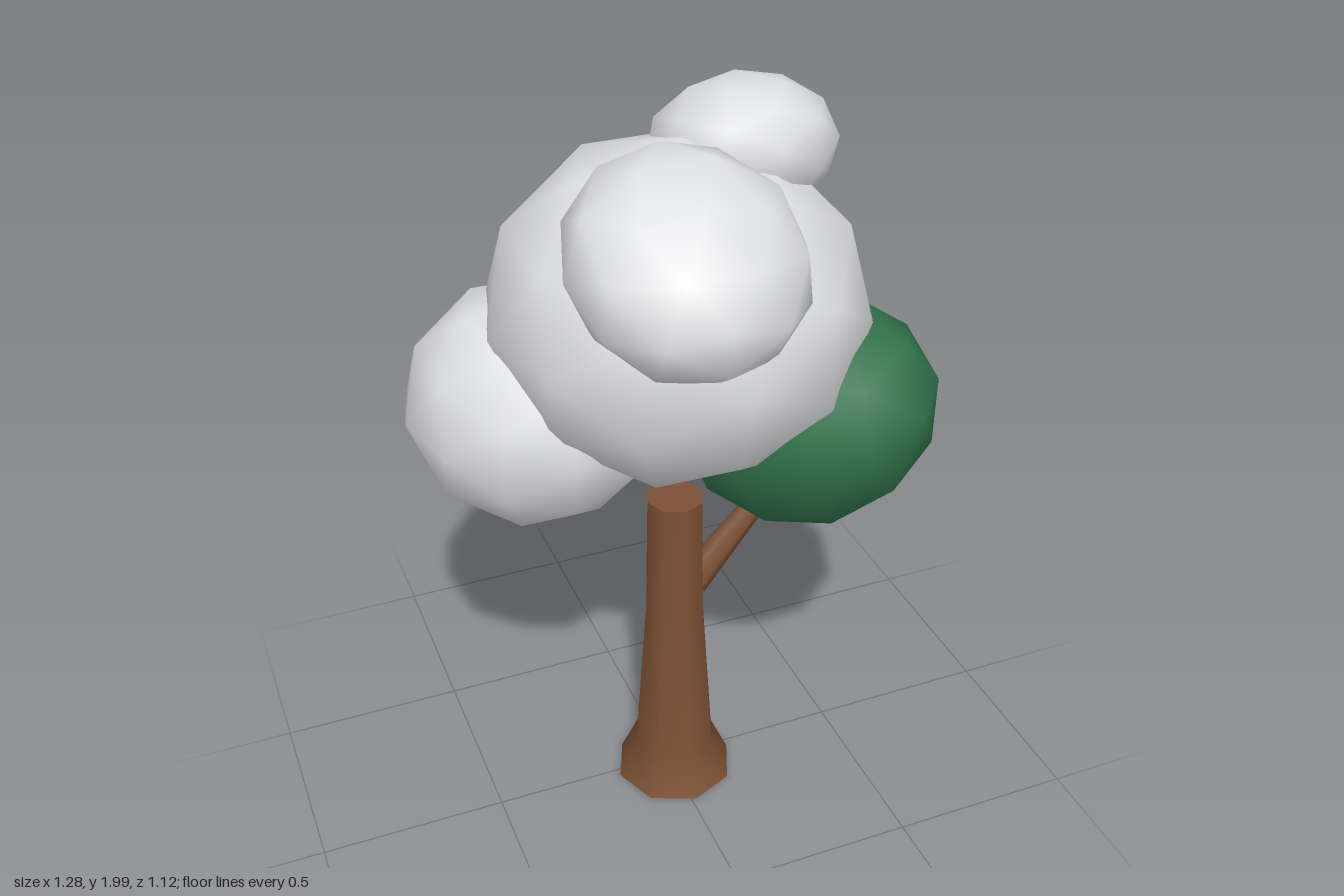
import * as THREE from 'three';

const material = (name, color) => {
  const m = new THREE.MeshStandardMaterial({ color });
  m.name = name;
  return m;
};

export function createModel() {
  const bark = material('brown bark', 0x7c5034);
  const pale = material('pale foliage', 0xdedfe2);
  const green = material('green foliage', 0x32734b);

  const tree = new THREE.Group();
  tree.name = 'tree';
  const add = (name, geometry, mat, x = 0, y = 0, z = 0, parent = tree) => {
    const mesh = new THREE.Mesh(geometry, mat);
    mesh.name = name;
    mesh.position.set(x, y, z);
    parent.add(mesh);
    return mesh;
  };

  // Eight-sided trunk flaring at the root, closed at both ends
  const trunk = new THREE.Group();
  trunk.name = 'trunk';
  trunk.position.set(0.012, 0, 0.024);
  tree.add(trunk);
  const profile = [[0.165, 0], [0.113, 0.12], [0.083, 0.55], [0.076, 0.93]];
  add('trunkSides', new THREE.LatheGeometry(profile.map(([r, y]) => new THREE.Vector2(r, y)), 8),
    bark, 0, 0, 0, trunk);
  add('trunkBase', new THREE.CircleGeometry(0.165, 8), bark, 0, 0, 0, trunk).rotation.x = Math.PI / 2;
  add('trunkTop', new THREE.CircleGeometry(0.076, 8), bark, 0, 0.93, 0, trunk).rotation.x = -Math.PI / 2;

  // Tapering side branch
  const start = new THREE.Vector3(0.06, 0.64, 0.024);
  const end = new THREE.Vector3(0.27, 0.885, 0.024);
  const dir = end.clone().sub(start);
  const branch = add('branch', new THREE.CylinderGeometry(0.028, 0.045, dir.length(), 6), bark);
  branch.position.copy(start).add(end).multiplyScalar(0.5);
  branch.quaternion.setFromUnitVectors(new THREE.Vector3(0, 1, 0), dir.normalize());

  // Foliage clumps: name, material, centre, radii, forward tilt
  const clumps = [
    ['mainCrown', pale, [0.005, 1.49, 0.042], [0.462, 0.415, 0.467], 0],
    ['rightClump', pale, [-0.315, 1.235, -0.08], [0.325, 0.3, 0.335], 0],
    ['frontTopClump', pale, [-0.07, 1.73, 0.29], [0.28, 0.19, 0.292], 0.55],
    ['topClump', pale, [0.21, 1.823, -0.06], [0.226, 0.17, 0.24], -0.3],
    ['leftGreenClump', green, [0.315, 1.195, 0.14], [0.322, 0.295, 0.355], -0.6],
    ['backGreenClump', green, [0.092, 1.272, -0.25], [0.304, 0.275, 0.325], 0.5],
  ];
  for (const [name, mat, centre, radii, tilt] of clumps) {
    add(name, new THREE.IcosahedronGeometry(1, 1).scale(...radii), mat, ...centre).rotation.x = tilt;
  }
  return tree;
}
